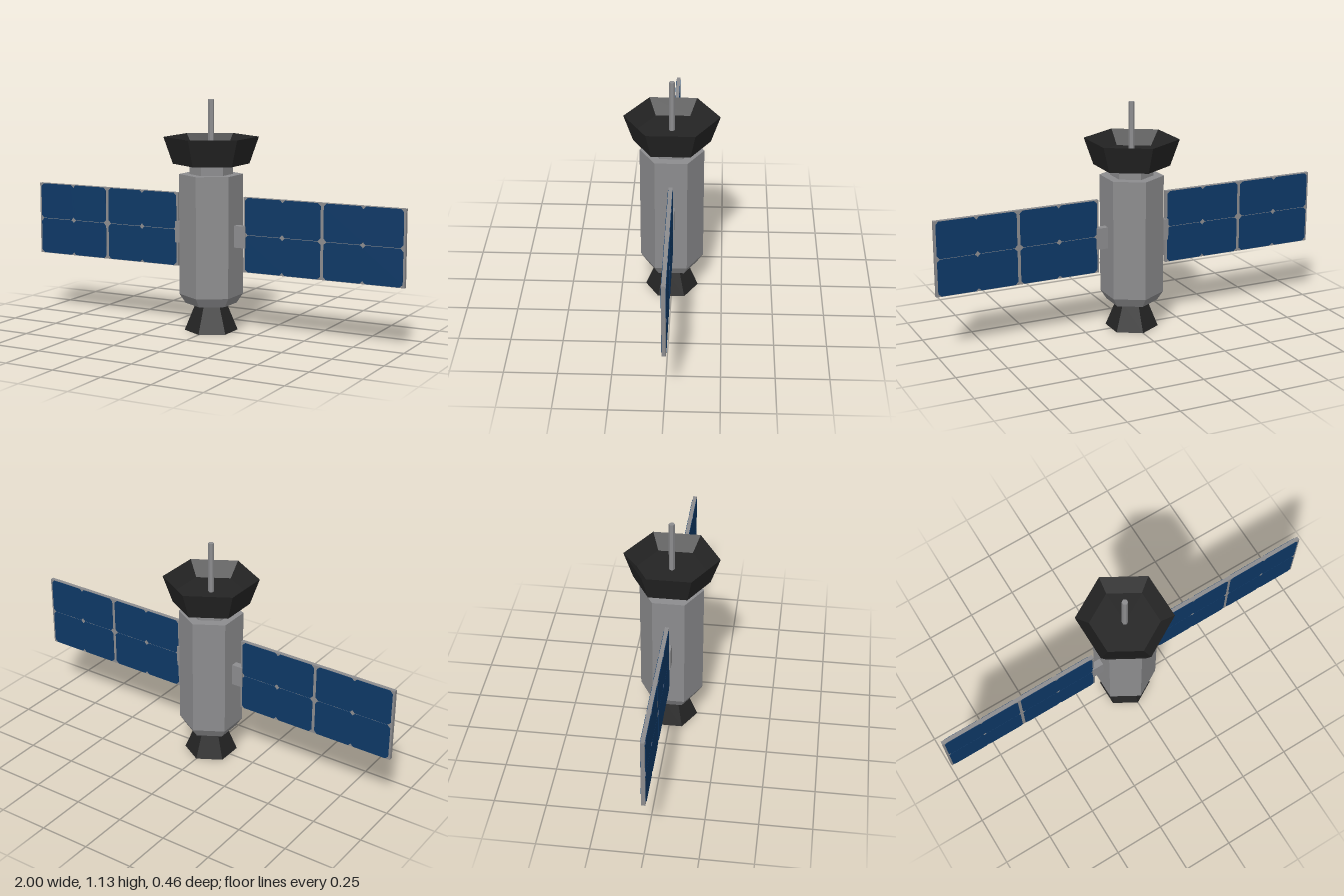
import * as THREE from 'three';

const make = (name, color) => {
  const m = new THREE.MeshStandardMaterial({ color });
  m.name = name;
  return m;
};

export function createModel() {
  const hullGrey = make('hullGrey', 0x8c8c8e);
  const black = make('black', 0x242424);
  const cellBlue = make('cellBlue', 0x0d3866);
  const model = new THREE.Group();
  model.name = 'satellite';

  const add = (parent, name, geometry, material, x = 0, y = 0, z = 0) => {
    const mesh = new THREE.Mesh(geometry, material);
    mesh.name = name;
    mesh.position.set(x, y, z);
    parent.add(mesh);
    return mesh;
  };

  // Faceted hexagonal solid turned from [radius, height] pairs
  const hex = (profile) => {
    const g = new THREE.LatheGeometry(profile.map(([r, y]) => new THREE.Vector2(r, y)), 6).toNonIndexed();
    g.computeVertexNormals();
    return g;
  };

  // Central stack: hollow nozzle, hull, neck, open dish and antenna
  add(model, 'nozzle', hex([[0, 0.05], [0.09, 0.05], [0.13, 0], [0.075, 0.135], [0, 0.135]]), black);
  add(model, 'hull', hex([[0, 0.135], [0.125, 0.135], [0.155, 0.18], [0.155, 0.77], [0, 0.77]]), hullGrey);
  add(model, 'neck', hex([[0.105, 0.765], [0.105, 0.825]]), hullGrey);
  add(model, 'dish', hex([[0, 0.82], [0.185, 0.82], [0.23, 0.95], [0.167, 0.88], [0, 0.88]]), black);
  add(model, 'antenna', hex([[0.0145, 0.87], [0.0145, 1.13], [0, 1.13]]), hullGrey);

  // Solar cell outline with clipped corners
  const w = 0.197, h = 0.179, c = 0.014;
  const outline = new THREE.Shape([
    [-w / 2 + c, -h / 2], [w / 2 - c, -h / 2], [w / 2, -h / 2 + c], [w / 2, h / 2 - c],
    [w / 2 - c, h / 2], [-w / 2 + c, h / 2], [-w / 2, h / 2 - c], [-w / 2, -h / 2 + c],
  ].map(([x, y]) => new THREE.Vector2(x, y)));
  const cell = new THREE.ExtrudeGeometry(outline, { depth: 0.003, bevelEnabled: false });

  // A wing on each side: strut, backing slab and cells on both faces
  for (const side of [-1, 1]) {
    const wing = new THREE.Group();
    wing.name = side > 0 ? 'leftWing' : 'rightWing';
    model.add(wing);
    add(wing, 'strut', new THREE.BoxGeometry(0.07, 0.106, 0.034), hullGrey, side * 0.157, 0.475, 0);
    add(wing, 'panelFrame', new THREE.BoxGeometry(0.82, 0.365, 0.019), hullGrey, side * 0.59, 0.4865, 0);
    for (const x of [0.288, 0.4835, 0.6965, 0.892]) {
      for (const y of [0.3957, 0.5773]) {
        add(wing, 'solarCellFront', cell, cellBlue, side * x, y, 0.0085);
        add(wing, 'solarCellBack', cell, cellBlue, side * x, y, -0.0085).rotation.y = Math.PI;
      }
    }
  }
  return model;
}
